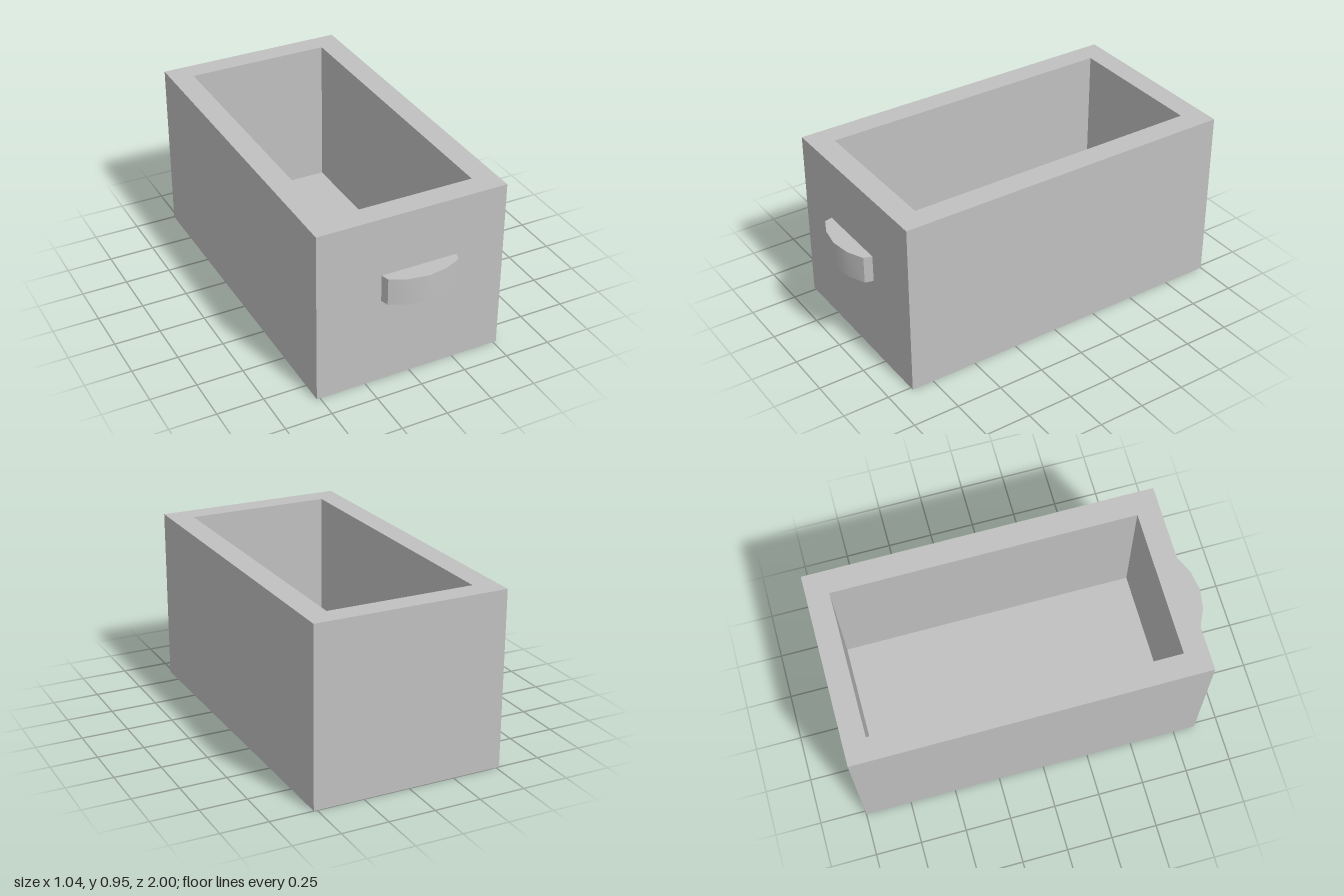
import * as THREE from 'three';
import { toCreasedNormals } from 'three/addons/utils/BufferGeometryUtils.js';

const HEIGHT = 0.95, FLOOR = 0.12;
const OUTER = { x0: -0.518, x1: 0.518, z0: -1, z1: 0.87 };
const INNER = { x0: -0.395, x1: 0.392, z0: -0.88, z1: 0.746 };

// Corner points of a rectangle in plan (x, z)
const corners = ({ x0, x1, z0, z1 }) =>
  [[x0, z0], [x1, z0], [x1, z1], [x0, z1]].map(([x, z]) => new THREE.Vector2(x, z));

// Extrude a plan outline vertically between two heights
function extrudePlan(shape, bottom, top) {
  const geometry = new THREE.ExtrudeGeometry(shape, { depth: top - bottom, bevelEnabled: false });
  geometry.rotateX(Math.PI / 2);
  geometry.translate(0, top, 0);
  return geometry;
}

export function createModel() {
  const group = new THREE.Group();
  const grey = new THREE.MeshStandardMaterial({ color: 0xc0c0c0 });
  grey.name = 'grey';

  const add = (name, geometry) => {
    const mesh = new THREE.Mesh(geometry, grey);
    mesh.name = name;
    group.add(mesh);
  };

  // Thick walls around an open well
  const walls = new THREE.Shape(corners(OUTER));
  walls.holes.push(new THREE.Path(corners(INNER)));
  add('drawerWalls', extrudePlan(walls, 0, HEIGHT));

  // Floor fills the bottom of the well
  add('drawerFloor', extrudePlan(new THREE.Shape(corners(INNER)), 0, FLOOR));

  // Bowed handle, standing just clear of the front
  const bow = [[-0.185, 0.9], [-0.173, 0.943], [-0.087, 0.983], [0.021, 1],
    [0.129, 0.983], [0.215, 0.943], [0.228, 0.9]];
  const handle = new THREE.Shape(bow.map(([x, z]) => new THREE.Vector2(x, z)));
  add('handle', toCreasedNormals(extrudePlan(handle, 0.505, 0.652), 0.6));

  return group;
}
